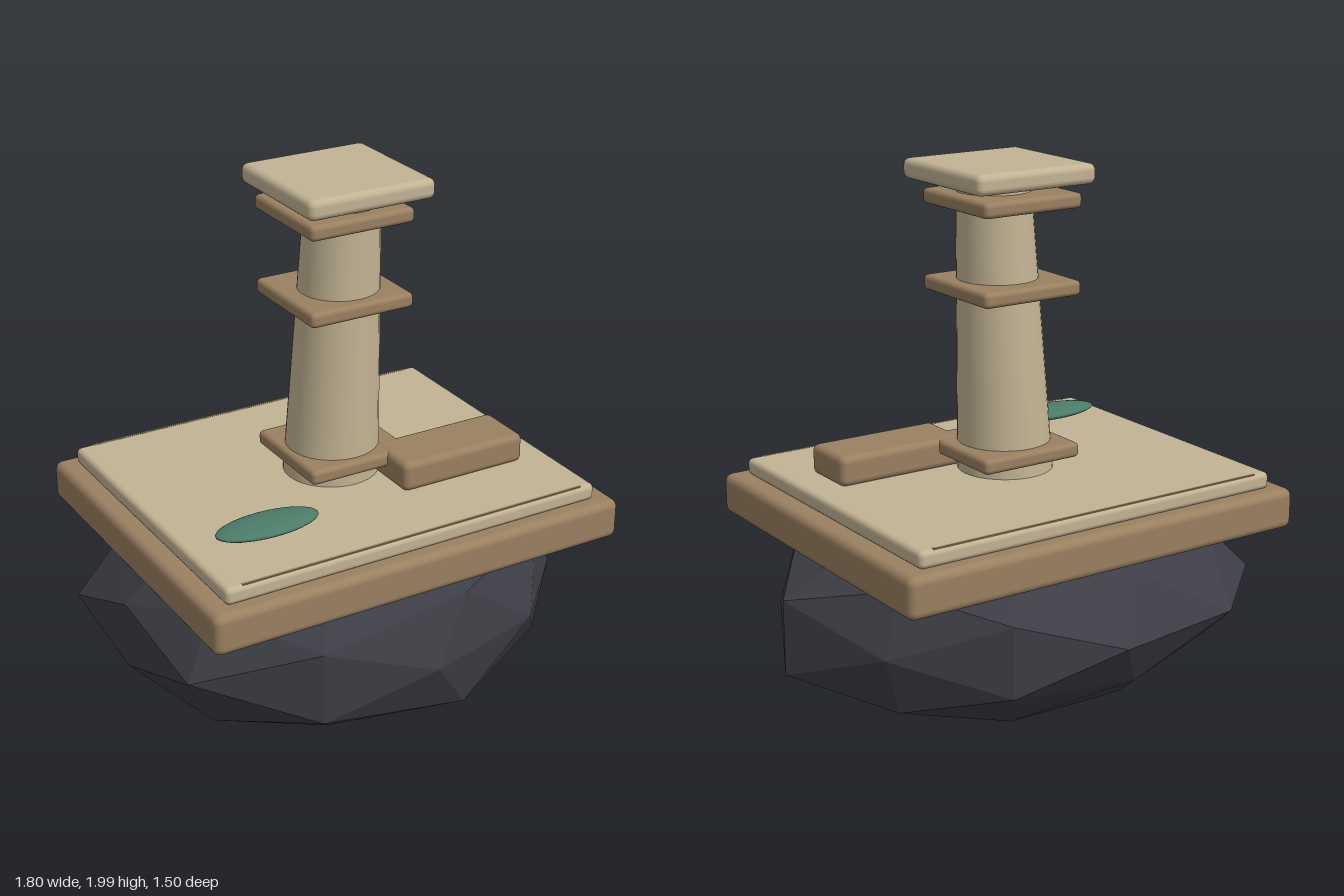
import * as THREE from 'three';
import { RoundedBoxGeometry } from 'three/addons/geometries/RoundedBoxGeometry.js';

function material(name, color, flatShading = false) {
  const m = new THREE.MeshStandardMaterial({ color, flatShading });
  m.name = name;
  return m;
}

// Radial bumps of the rock: height of the vertex ring -> [azimuth in degrees, factor]
const BUMPS = [
  [1, [[0, 0.98]]],
  [0.851, [[-58, 1.0], [122, 1.04]]],
  [0.809, [[0, 0.943], [-117, 1.02], [63, 1.0], [180, 1.05]]],
  [0.526, [[32, 1.0], [-148, 1.0]]],
  [0.5, [[-37, 1.02], [-79, 1.06], [101, 0.955], [143, 1.0]]],
  [0.309, [[0, 1.057], [-117, 1.04], [63, 1.0], [180, 0.953]]],
  [0, [[-58, 0.98], [-27, 0.94], [32, 0.945], [90, 1.01], [122, 1.07], [153, 1.058], [-148, 1.01], [-90, 1.01]]],
];

function nearest(list, distance) {
  return list.reduce((a, b) => (distance(b) < distance(a) ? b : a));
}

function rockGeometry() {
  const g = new THREE.IcosahedronGeometry(1, 1);
  g.rotateY(THREE.MathUtils.degToRad(-58.28));
  const p = g.attributes.position;
  for (let i = 0; i < p.count; i++) {
    const x = p.getX(i), y = p.getY(i), z = p.getZ(i);
    const az = -THREE.MathUtils.radToDeg(Math.atan2(z, x));
    const ring = nearest(BUMPS, (r) => Math.abs(r[0] - Math.abs(y)));
    const k = nearest(ring[1], (e) => {
      const d = Math.abs(e[0] - az) % 360;
      return Math.min(d, 360 - d);
    })[1];
    p.setXYZ(i, x * k * 0.92 - 0.03, y * k * 0.425 + 0.423, z * k * 0.742);
  }
  g.computeVertexNormals();
  return g;
}

export function createModel() {
  const group = new THREE.Group();
  const rockGrey = material('rock grey', 0x3d3d45, true);
  const sand = material('sand stone', 0xc2b393);
  const brown = material('brown stone', 0x9a8060);
  const green = material('green', 0x4a7c68);

  function add(name, geometry, mat) {
    const mesh = new THREE.Mesh(geometry, mat);
    mesh.name = name;
    group.add(mesh);
    return mesh;
  }
  // Rounded block given by its extents on each axis
  function block(name, [x0, x1], [y0, y1], [z0, z1], radius, mat) {
    const mesh = add(name, new RoundedBoxGeometry(x1 - x0, y1 - y0, z1 - z0, 3, radius), mat);
    mesh.position.set((x0 + x1) / 2, (y0 + y1) / 2, (z0 + z1) / 2);
  }

  // Floating rock and the two slabs on it
  add('rock', rockGeometry(), rockGrey);
  block('baseSlab', [-0.84, 0.785], [0.675, 0.825], [-0.66, 0.66], 0.03, brown);
  block('terrace', [-0.77, 0.712], [0.822, 0.885], [-0.605, 0.605], 0.02, sand);

  // Thin edge lines along the front and back of the terrace
  for (const side of [-1, 1]) {
    const line = add('edgeLine', new THREE.BoxGeometry(1.36, 0.006, 0.01), brown);
    line.position.set(-0.025, 0.883, side * 0.591);
  }

  // Tapered, slightly leaning shaft
  const shaft = new THREE.CylinderGeometry(0.132, 0.174, 1.06, 32, 6);
  const p = shaft.attributes.position;
  for (let i = 0; i < p.count; i++) {
    const t = p.getY(i) / 1.06 + 0.5;
    p.setX(i, p.getX(i) - 0.028 + 0.036 * t);
    p.setZ(i, p.getZ(i) + 0.022 * t);
  }
  shaft.computeVertexNormals();
  add('shaft', shaft, sand).position.y = 1.41;

  // Square collars and cap
  for (const y of [0.935, 1.53, 1.84]) {
    block('collar', [-0.217, 0.19], [y, y + 0.055], [-0.203, 0.203], 0.018, brown);
  }
  block('cap', [-0.246, 0.246], [1.927, 2.0], [-0.246, 0.246], 0.025, sand);

  // Step block and green mound on the terrace
  block('step', [0.088, 0.595], [0.882, 0.993], [0.1, 0.322], 0.025, brown);
  const mound = add('mound', new THREE.SphereGeometry(1, 24, 16), green);
  mound.scale.set(0.195, 0.024, 0.083);
  mound.position.set(-0.48, 0.93, 0.35);

  return group;
}
